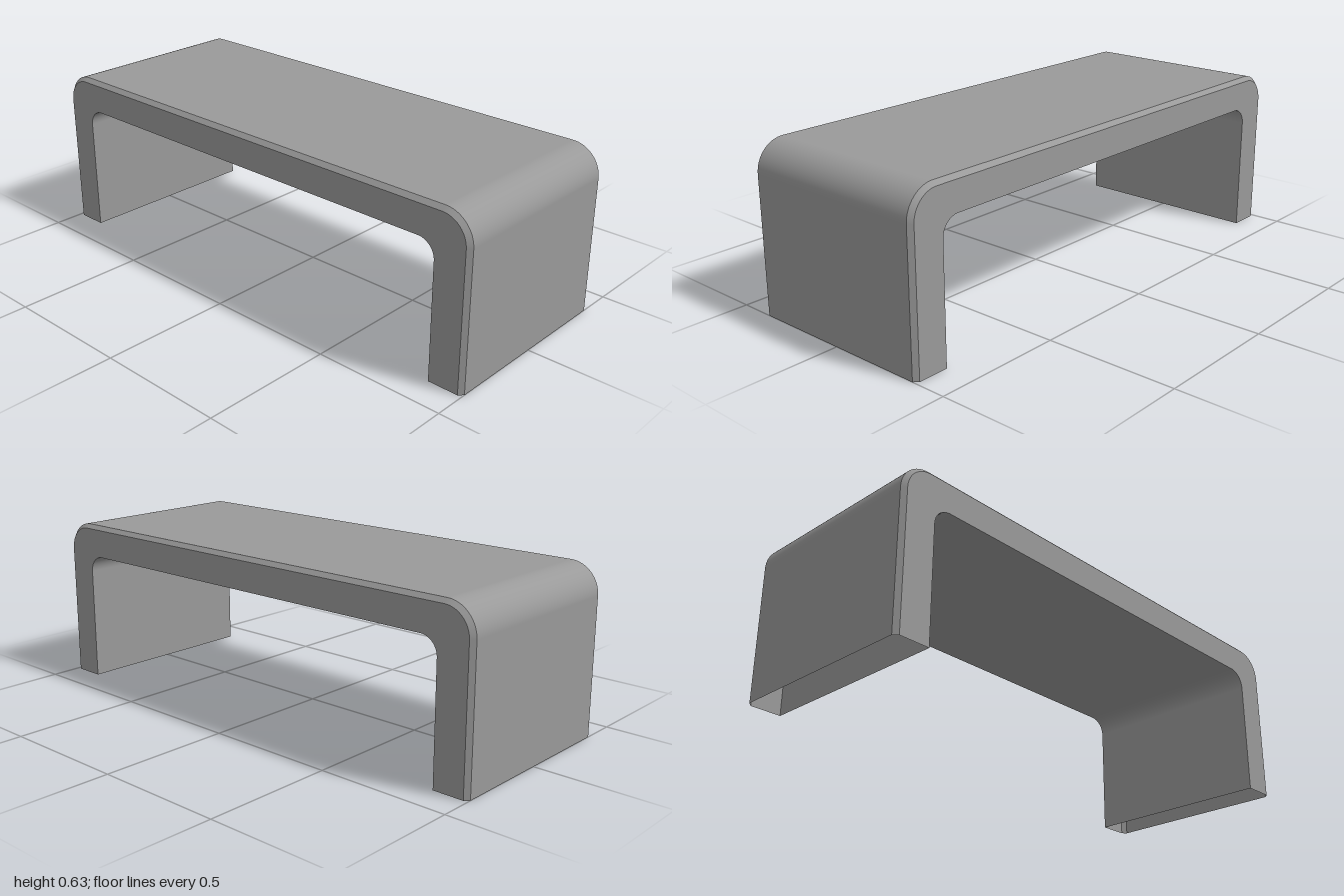
import * as THREE from 'three';

const SEGMENTS = 16; // per rounded corner
const material = new THREE.MeshStandardMaterial({ color: 0x9a9a9a, side: THREE.DoubleSide });

// Upside-down U from the foot at -x, over the top, to the foot at +x
function archPath(halfWidth, height, radius, z) {
  const points = [new THREE.Vector3(-halfWidth, 0, z)];
  for (const side of [-1, 1]) {
    for (let i = 0; i <= SEGMENTS; i++) {
      const t = (i / SEGMENTS) * Math.PI / 2;
      const a = side < 0 ? Math.PI - t : Math.PI / 2 - t;
      points.push(new THREE.Vector3(
        side * (halfWidth - radius) + radius * Math.cos(a),
        height - radius + radius * Math.sin(a), z));
    }
  }
  points.push(new THREE.Vector3(halfWidth, 0, z));
  return points;
}

// Skin between two arches; separate strips keep the edges between them sharp
function strip(name, a, b) {
  const n = a.length;
  const geometry = new THREE.BufferGeometry().setFromPoints([...a, ...b]);
  const index = [];
  for (let i = 0; i < n - 1; i++) {
    index.push(i, i + 1, n + i + 1, i, n + i + 1, n + i);
  }
  geometry.setIndex(index);
  geometry.computeVertexNormals();
  const mesh = new THREE.Mesh(geometry, material);
  mesh.name = name;
  return mesh;
}

export function createModel() {
  const group = new THREE.Group();
  group.name = 'archStand';

  const depth = 0.381, chamfer = 0.016;
  const inner = z => archPath(0.866, 0.508, 0.066, z);
  const rim = z => archPath(1 - chamfer, 0.634 - chamfer, 0.113 - chamfer, z);
  const outer = z => archPath(1, 0.634, 0.113, z);

  // Hollow shell, open underneath the two legs
  const edge = depth - chamfer;
  group.add(
    strip('frontFace', inner(depth), rim(depth)),
    strip('frontChamfer', rim(depth), outer(edge)),
    strip('outerShell', outer(edge), outer(-edge)),
    strip('backChamfer', outer(-edge), rim(-depth)),
    strip('backFace', rim(-depth), inner(-depth)),
    strip('innerShell', inner(-depth), inner(depth)),
  );
  return group;
}
